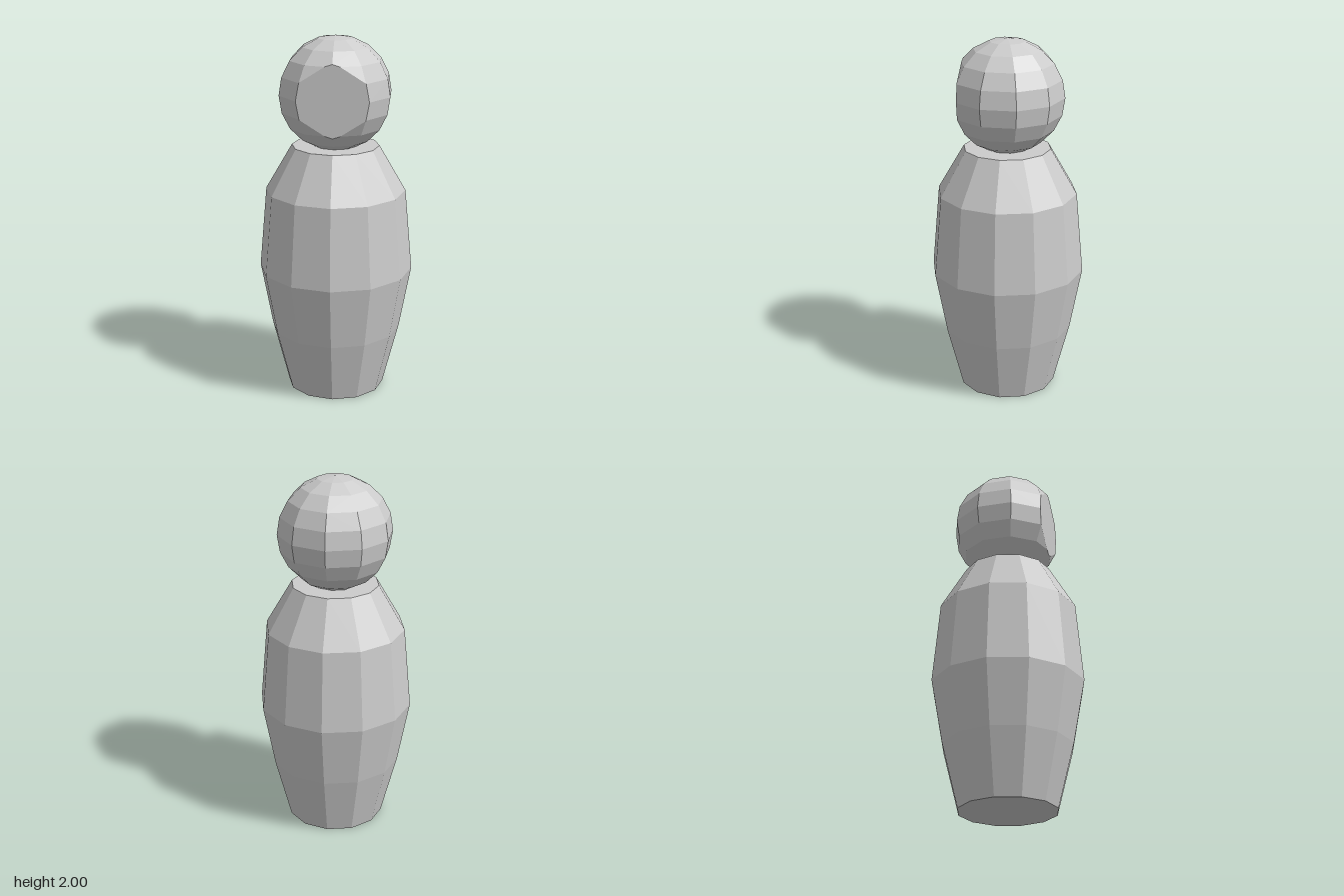
import * as THREE from 'three';
import { ConvexGeometry } from 'three/addons/geometries/ConvexGeometry.js';

const material = new THREE.MeshStandardMaterial({ color: 0xcccccc, flatShading: true });

// Twelve-sided turned body, closed at both ends
function makeBody() {
  const profile = [[0, 0], [0.27, 0], [0.36, 0.35], [0.425, 0.7], [0.385, 1.15], [0.24, 1.4], [0, 1.4]]
    .map(([r, y]) => new THREE.Vector2(r, y));
  return new THREE.LatheGeometry(profile, 12);
}

// Ten-sided sphere sliced flat at z = faceZ
function makeHead(radius, faceZ) {
  const sides = 10, rings = 10;
  const at = (ring, side) => new THREE.Vector3().setFromSphericalCoords(
    radius, Math.PI * ring / rings, Math.PI * 2 * (side % sides) / sides);
  const points = [at(0, 0), at(rings, 0)];

  // Where an edge crosses the slice, add the crossing point
  const addCrossing = (a, b) => {
    if ((a.z - faceZ) * (b.z - faceZ) >= 0) return;
    const p = a.clone().lerp(b, (faceZ - a.z) / (b.z - a.z));
    p.z = faceZ;
    points.push(p);
  };

  for (let ring = 1; ring < rings; ring++) {
    for (let side = 0; side < sides; side++) {
      const p = at(ring, side);
      if (p.z <= faceZ) points.push(p);
      addCrossing(p, at(ring, side + 1));
      addCrossing(p, at(ring + 1, side));
    }
  }
  return new ConvexGeometry(points);
}

export function createModel() {
  const group = new THREE.Group();
  group.name = 'pegFigure';

  const body = new THREE.Mesh(makeBody(), material);
  body.name = 'body';

  const head = new THREE.Mesh(makeHead(0.313, 0.24), material);
  head.name = 'head';
  head.position.y = 2 - 0.313;

  group.add(body, head);
  return group;
}
